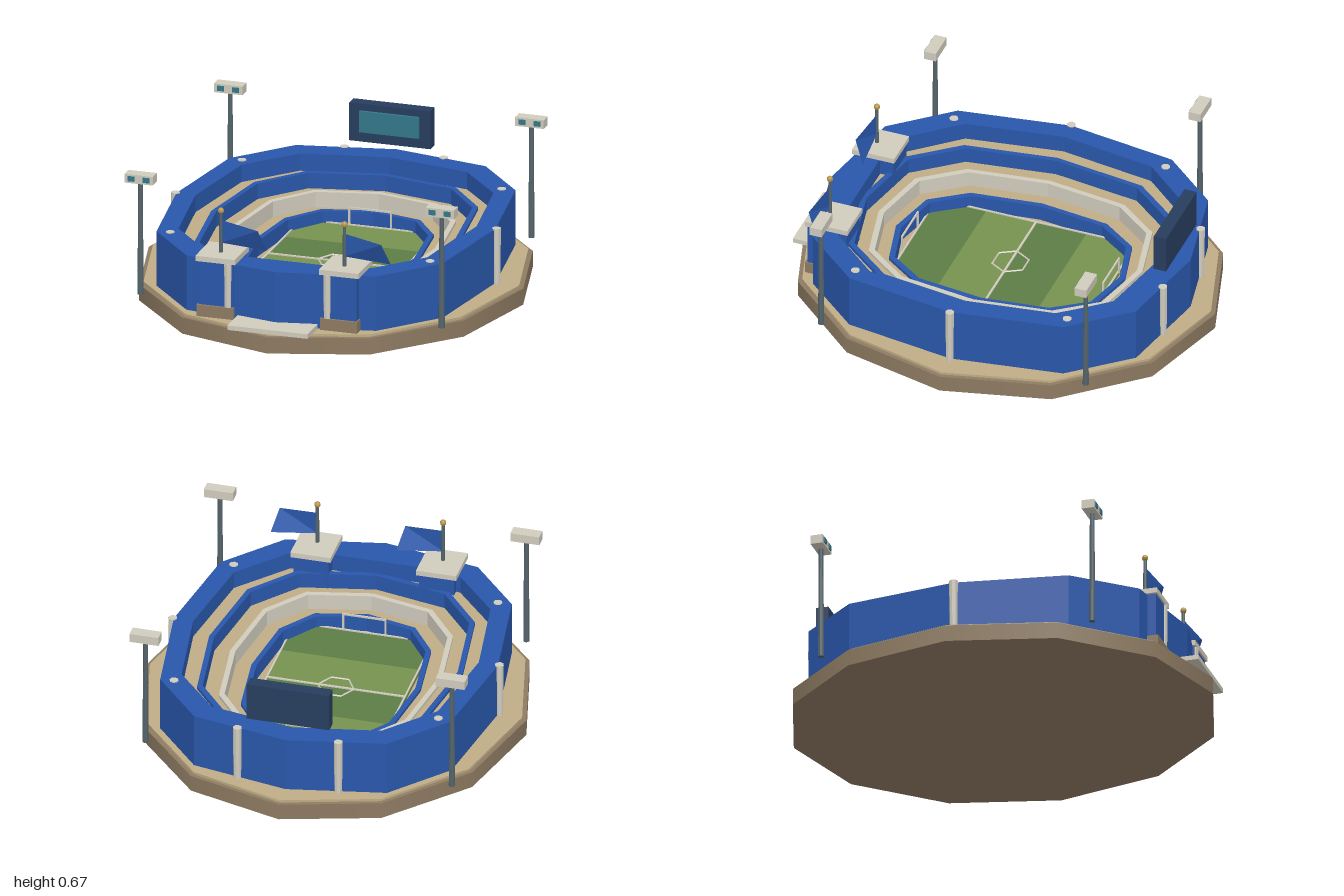
import * as THREE from 'three';

const COLORS = {
  blue: 0x2957ab, tan: 0xbfad85, brown: 0x8e7b62, white: 0xd0cbbd, navy: 0x273d5e,
  teal: 0x33788a, steel: 0x54646a, gold: 0xb8964a, grassLight: 0x76924f, grassDark: 0x5d7d46,
};
const mats = {};
for (const k in COLORS) mats[k] = new THREE.MeshStandardMaterial({ color: COLORS[k], flatShading: true });
const smooth = (k) => new THREE.MeshStandardMaterial({ color: COLORS[k] });

export function createModel() {
  const model = new THREE.Group();

  function add(name, geo, mat, x = 0, y = 0, z = 0, parent = model) {
    const m = new THREE.Mesh(geo, typeof mat === 'string' ? mats[mat] : mat);
    m.name = name;
    m.position.set(x, y, z);
    parent.add(m);
    return m;
  }
  const box = (name, mat, w, h, d, x, y, z, parent) =>
    add(name, new THREE.BoxGeometry(w, h, d), mat, x, y, z, parent);

  // Twelve-sided rounded-rectangle outline
  function outline(a, b) {
    const pts = [];
    const pw = (v) => (Math.abs(v) < 1e-6 ? 0 : Math.sign(v) * Math.abs(v) ** 0.75);
    for (let i = 0; i < 12; i++) {
      const t = (i * Math.PI) / 6;
      pts.push(new THREE.Vector2(a * pw(Math.cos(t)), b * pw(Math.sin(t))));
    }
    return pts;
  }
  // Upright ring between two outlines
  function ring(name, mat, a, b, ai, bi, y0, y1) {
    const s = new THREE.Shape(outline(a, b));
    s.holes.push(new THREE.Path(outline(ai, bi)));
    const g = new THREE.ExtrudeGeometry(s, { depth: y1 - y0, bevelEnabled: false });
    g.rotateX(-Math.PI / 2);
    add(name, g, mat, 0, y0, 0);
  }

  // Base plinth and paving
  const plinth = add('plinth', new THREE.CylinderGeometry(1, 1, 0.078, 12), smooth('brown'), 0, 0.039, 0);
  plinth.scale.set(0.9, 1, 1);
  const paving = add('paving', new THREE.CylinderGeometry(1, 1, 0.015, 12), smooth('tan'), 0, 0.0825, 0);
  paving.scale.set(0.88, 1, 0.98);

  // Outer wall and stepped terraces with coloured front rims
  const Y = 0.088;
  ring('outerWall', 'blue', 0.767, 0.88, 0.675, 0.765, Y, 0.353);
  const tiers = [
    { a: 0.4, b: 0.56, top: 0.15, mat: 'blue' },
    { a: 0.5, b: 0.645, top: 0.21, mat: 'white' },
    { a: 0.6, b: 0.73, top: 0.27, mat: 'blue' },
    { a: 0.7, b: 0.79 },
  ];
  for (let i = 0; i < 3; i++) {
    const t = tiers[i], n = tiers[i + 1];
    ring('terraceRim', t.mat, t.a, t.b, t.a - 0.025, t.b - 0.027, Y, t.top + 0.015);
    ring('terrace', 'tan', n.a - 0.025, n.b - 0.027, t.a, t.b, Y, t.top);
  }

  // Leaning columns around the wall
  for (let i = 0; i < 10; i++) {
    const t = (i * Math.PI) / 5;
    const g = new THREE.CylinderGeometry(0.021, 0.018, 0.268, 8);
    add('wallColumn', g, 'white', 0.772 * Math.cos(t), 0.223, 0.88 * Math.sin(t));
  }

  // Striped pitch with markings
  for (let i = 0; i < 4; i++)
    box('pitchStripe', i % 2 ? 'grassDark' : 'grassLight', 0.66, 0.022, 0.245, 0, 0.097, -0.3675 + i * 0.245);
  const L = 0.111;
  box('halfwayLine', 'white', 0.66, 0.006, 0.01, 0, L, 0);
  for (const s of [-1, 1]) {
    box('touchLine', 'white', 0.008, 0.006, 0.98, s * 0.326, L, 0);
    box('goalLine', 'white', 0.66, 0.006, 0.008, 0, L, s * 0.486);
    // Goal frame
    const goal = new THREE.Group();
    goal.name = 'goal';
    goal.position.z = s * 0.492;
    model.add(goal);
    for (const x of [-0.1, 0.1]) box('goalPost', 'white', 0.008, 0.085, 0.008, x, 0.15, 0, goal);
    box('crossbar', 'white', 0.208, 0.008, 0.008, 0, 0.19, 0, goal);
  }
  const circle = new THREE.TorusGeometry(0.085, 0.005, 4, 6);
  circle.rotateX(Math.PI / 2);
  add('centreCircle', circle, 'white', 0, L, 0);

  // Front gate with ramp
  box('gateBlock', 'blue', 0.42, 0.265, 0.11, 0, 0.2205, 0.775);
  box('entranceRamp', 'white', 0.385, 0.022, 0.18, 0, 0.1, 0.9);

  // Gate towers with flags
  for (const s of [-1, 1]) {
    const tower = new THREE.Group();
    tower.name = 'gateTower';
    tower.position.set(s * 0.297, 0, 0.75);
    model.add(tower);
    box('towerBody', 'blue', 0.165, 0.27, 0.19, 0, 0.223, 0, tower);
    box('towerFooting', 'brown', 0.178, 0.057, 0.214, 0, 0.1165, 0, tower);
    box('towerCap', 'white', 0.19, 0.025, 0.207, 0, 0.367, 0, tower);
    add('flagPole', new THREE.CylinderGeometry(0.008, 0.01, 0.19, 8), 'steel', 0, 0.475, 0.018, tower);
    add('flagFinial', new THREE.SphereGeometry(0.015, 8, 6), 'gold', 0, 0.58, 0.018, tower);
    const flag = new THREE.BufferGeometry();
    flag.setAttribute('position', new THREE.Float32BufferAttribute([
      0, 0.425, 0.018, 0.217, 0.405, 0.003, 0.187, 0.512, 0.05, 0, 0.535, 0.018], 3));
    flag.setIndex([0, 1, 2, 0, 2, 3]);
    flag.computeVertexNormals();
    const cloth = mats.blue.clone();
    cloth.side = THREE.DoubleSide;
    add('flag', flag, cloth, 0, 0, 0, tower);
  }

  // Scoreboard at the back
  box('scoreboard', 'navy', 0.39, 0.183, 0.06, 0, 0.502, -0.805);
  box('scoreboardScreen', 'teal', 0.286, 0.102, 0.014, 0, 0.51, -0.769);

  // Four floodlights, all with lamps on the front face
  for (const x of [-0.724, 0.724]) for (const z of [-0.647, 0.647]) {
    const light = new THREE.Group();
    light.name = 'floodlight';
    light.position.set(x, 0, z);
    model.add(light);
    add('floodlightPole', new THREE.CylinderGeometry(0.011, 0.015, 0.545, 8), 'steel', 0, 0.3605, 0, light);
    box('floodlightHead', 'white', 0.137, 0.042, 0.058, 0, 0.65, 0, light);
    for (const s of [-1, 1]) box('lamp', 'teal', 0.032, 0.024, 0.01, s * 0.036, 0.651, 0.029, light);
  }

  return model;
}
